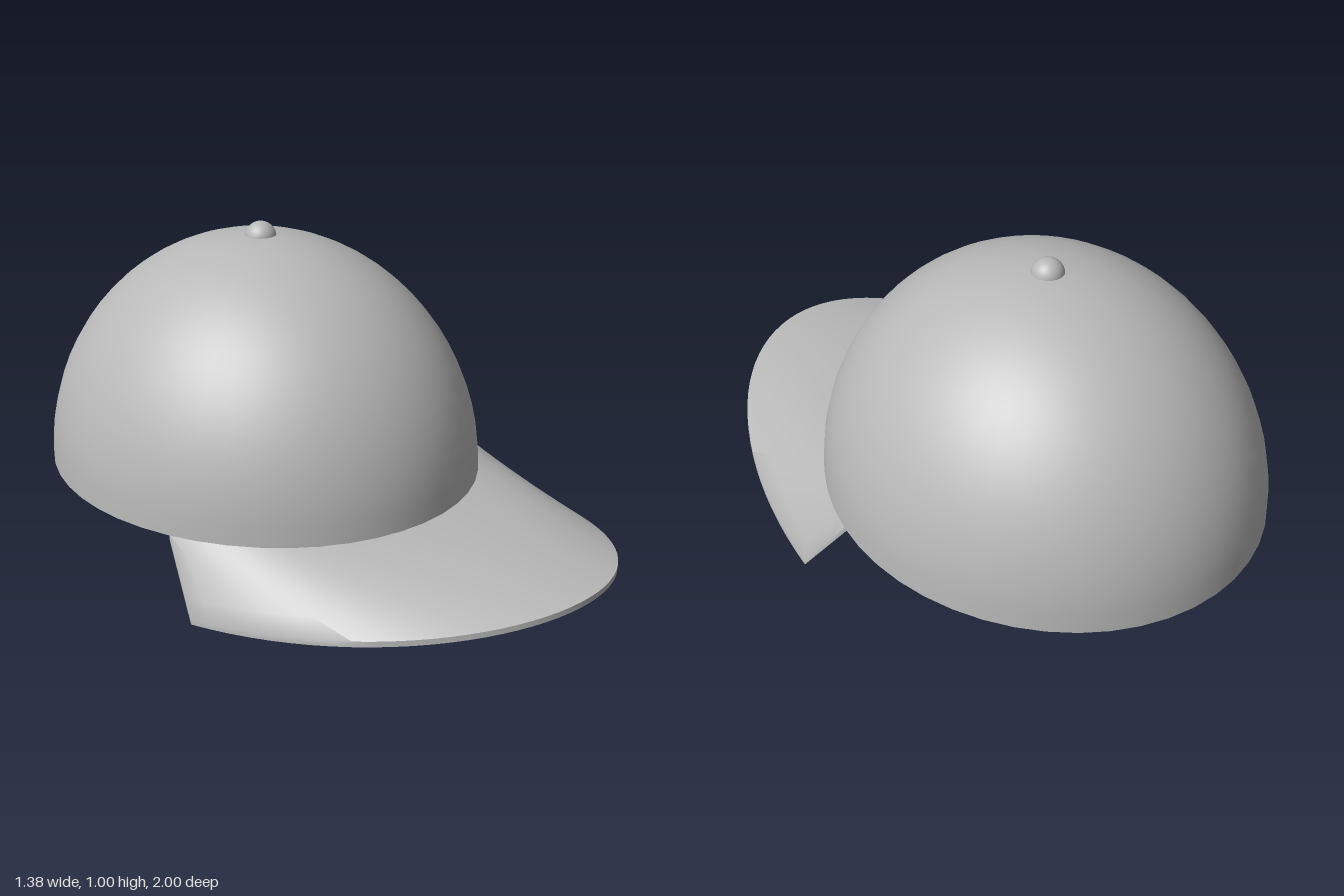
import * as THREE from 'three';
import { toCreasedNormals } from 'three/addons/utils/BufferGeometryUtils.js';

const CENTER_Z = -0.273, RIM_Y = 0.22;
const CROWN = { rx: 0.652, ry: 0.74, rz: 0.727 };
const BRIM = { rx: 0.714, rz: 1.273 };

// Thin hollow half ellipsoid: down the lining, round the rim, up the outside
function crownGeometry() {
  const rings = 18, wall = 0.012, profile = [];
  for (let i = rings; i >= 0; i--) {
    const a = (i / rings) * Math.PI / 2;
    profile.push(new THREE.Vector2(Math.cos(a) * (1 - wall), Math.sin(a) * (1 - wall)));
  }
  for (let i = 0; i <= rings; i++) {
    const a = (i / rings) * Math.PI / 2;
    profile.push(new THREE.Vector2(Math.cos(a), Math.sin(a)));
  }
  profile[0].x = profile[profile.length - 1].x = 0;
  const g = new THREE.LatheGeometry(profile, 48);
  g.scale(CROWN.rx, CROWN.ry, CROWN.rz);
  return toCreasedNormals(g, 0.8);
}

// Arched brim: closed cross-sections swept from the left end round the front to the right end
function brimGeometry() {
  const steps = 48, across = 4, n = 2 * (across + 1);
  const start = THREE.MathUtils.degToRad(15.2);
  const pos = [], index = [];
  for (let i = 0; i <= steps; i++) {
    const a = start + (i / steps) * (Math.PI - 2 * start);
    const c = Math.cos(a), s = Math.sin(a);
    const droop = (c / Math.cos(start)) ** 2;
    for (let j = 0; j < n; j++) {
      const top = j <= across;
      const t = (top ? j : n - 1 - j) / across;
      const x = c * THREE.MathUtils.lerp(CROWN.rx - 0.006, BRIM.rx, t);
      const z = CENTER_Z + s * THREE.MathUtils.lerp(CROWN.rz - 0.006, BRIM.rz, t);
      const y = THREE.MathUtils.lerp(RIM_Y + 0.002, 0.154 - 0.136 * droop, t);
      pos.push(x, top ? y : y - 0.018, z);
    }
  }
  for (let i = 0; i < steps; i++) {
    for (let j = 0; j < n; j++) {
      const k = (j + 1) % n;
      const a = i * n + j, b = a + n, c = i * n + k, d = c + n;
      index.push(a, b, c, b, d, c);
    }
  }
  // end faces
  const e = steps * n;
  for (let k = 0; k < across; k++) {
    const p = k, q = k + 1, r = n - 2 - k, s = n - 1 - k;
    index.push(p, q, r, p, r, s);
    index.push(e + p, e + r, e + q, e + p, e + s, e + r);
  }
  const g = new THREE.BufferGeometry();
  g.setAttribute('position', new THREE.Float32BufferAttribute(pos, 3));
  g.setIndex(index);
  return toCreasedNormals(g, 0.8);
}

export function createModel() {
  const cap = new THREE.Group();
  cap.name = 'cap';
  const grey = new THREE.MeshStandardMaterial({ color: 0xb8b8b8 });
  grey.name = 'grey cloth';

  const add = (name, geometry, y, z) => {
    const mesh = new THREE.Mesh(geometry, grey);
    mesh.name = name;
    mesh.position.set(0, y, z);
    cap.add(mesh);
  };
  add('crown', crownGeometry(), RIM_Y, CENTER_Z);
  add('brim', brimGeometry(), 0, 0);
  add('topButton', new THREE.SphereGeometry(0.05, 24, 16), 0.95, CENTER_Z);
  return cap;
}
